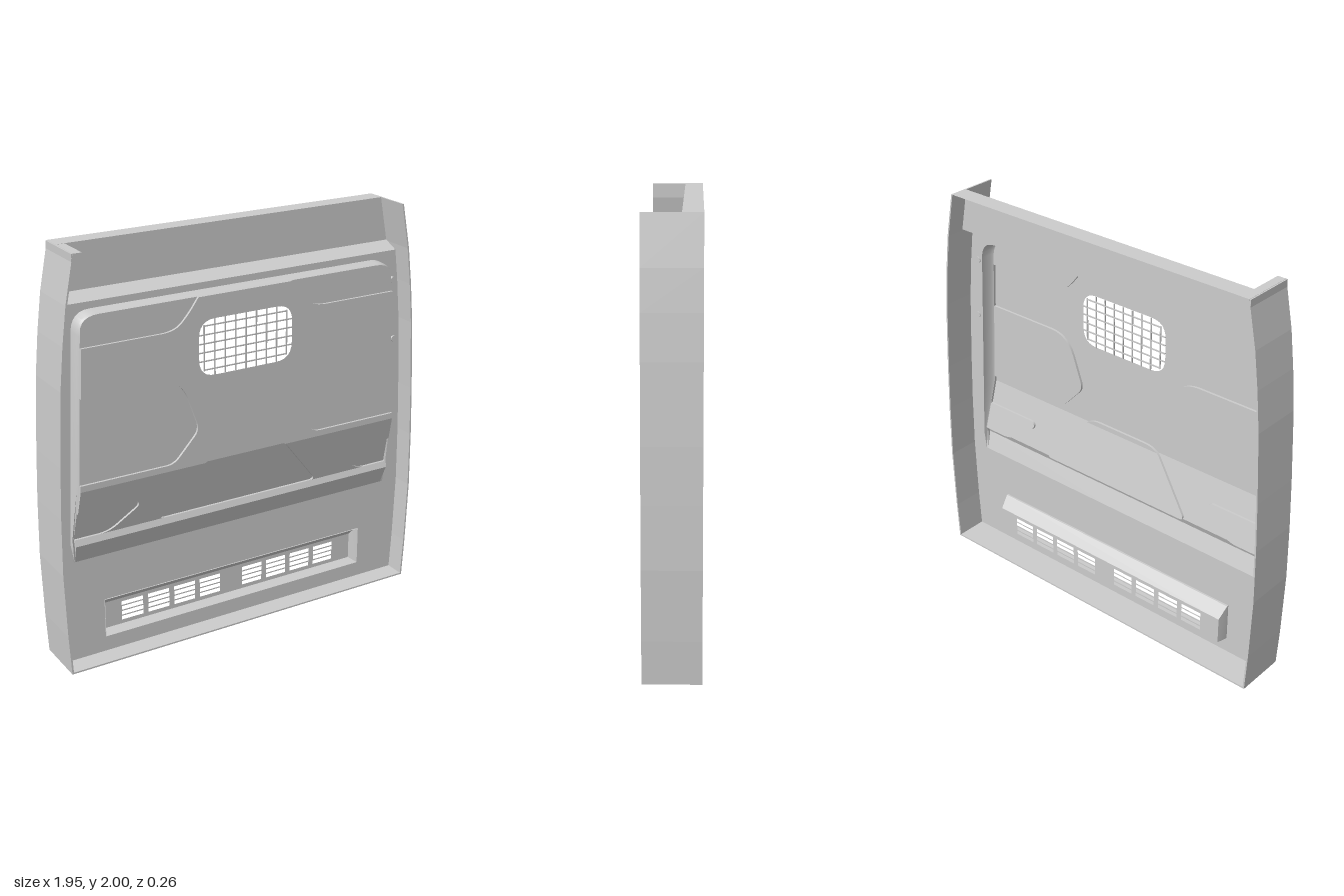
import * as THREE from 'three';
import { toCreasedNormals } from 'three/addons/utils/BufferGeometryUtils.js';

const BASE = 0.03, PRESS = 0.012;
// Half width of the side walls, [x, y]
const PROFILE = [[0.955, 0], [0.966, 0.2], [0.976, 0.52], [0.972, 0.8], [0.963, 1.05],
  [0.945, 1.4], [0.926, 1.6], [0.903, 1.78], [0.86, 2]];
// Forward depth of the raised panel, [y, z]
const DEPTH = [[0.52, BASE], [0.61, 0.06], [0.64, 0.048], [0.9, 0.11], [1.71, 0.11]];

function lerpTable(t, k) {
  if (k <= t[0][0]) return t[0][1];
  for (let i = 1; i < t.length; i++) {
    const [a, va] = t[i - 1], [b, vb] = t[i];
    if (k <= b) return va + (vb - va) * (k - a) / (b - a);
  }
  return t[t.length - 1][1];
}
const halfWidth = y => lerpTable(PROFILE.map(([x, h]) => [h, x]), y);
const panelZ = y => lerpTable(DEPTH, y);
const panelSide = y => 0.83 + (1.6 - y) * 0.047;

const material = new THREE.MeshStandardMaterial({ color: 0xcccccc, side: THREE.DoubleSide });

function add(group, name, geometry) {
  const mesh = new THREE.Mesh(geometry, material);
  mesh.name = name;
  group.add(mesh);
  return mesh;
}

const flip = pts => pts.map(([x, y]) => [-x, y]).reverse();
const symmetric = half => [...half, ...flip(half)];

// Rounds the corners of a path given as [x, y, radius]
function rounded(pts, closed = true) {
  const n = pts.length, out = [];
  pts.forEach(([x, y, r], i) => {
    if (!r || (!closed && (i === 0 || i === n - 1))) return out.push([x, y]);
    const p = new THREE.Vector2(x, y);
    const toward = q => {
      const d = new THREE.Vector2(q[0], q[1]).sub(p);
      return d.setLength(Math.min(r, d.length() * 0.49)).add(p);
    };
    const a = toward(pts[(i + n - 1) % n]), b = toward(pts[(i + 1) % n]);
    new THREE.QuadraticBezierCurve(a, p, b).getPoints(6).forEach(v => out.push([v.x, v.y]));
  });
  return out;
}

// Adds points where a closed outline crosses a fold of the panel
function splitAtFolds(pts) {
  return pts.flatMap((a, i) => {
    const b = pts[(i + 1) % pts.length];
    const cuts = DEPTH.map(d => (d[0] - a[1]) / (b[1] - a[1])).filter(t => t > 0.001 && t < 0.999).sort((s, t) => s - t);
    return [a, ...cuts.map(t => [a[0] + (b[0] - a[0]) * t, a[1] + (b[1] - a[1]) * t])];
  });
}

function triangles(pos, crease) {
  const g = new THREE.BufferGeometry();
  g.setAttribute('position', new THREE.Float32BufferAttribute(pos, 3));
  g.computeVertexNormals();
  return crease ? toCreasedNormals(g, 0.7) : g;
}

// Joins rings of [x, y, z] points
function loft(rings, closed = true) {
  const pos = [], n = rings[0].length;
  for (let r = 1; r < rings.length; r++) {
    for (let i = 0; i < (closed ? n : n - 1); i++) {
      const j = (i + 1) % n, a = rings[r - 1], b = rings[r];
      pos.push(...a[i], ...a[j], ...b[j], ...a[i], ...b[j], ...b[i]);
    }
  }
  return triangles(pos, true);
}

// Cuts a polygon at height y, keeping the part above (s = 1) or below (s = -1)
function clip(poly, y, s) {
  return poly.flatMap((a, i) => {
    const b = poly[(i + 1) % poly.length], da = (a[1] - y) * s, db = (b[1] - y) * s;
    const out = da >= 0 ? [a] : [];
    if (da * db < 0) out.push([a[0] + (b[0] - a[0]) * da / (da - db), y]);
    return out;
  });
}

// Flat outline with holes, bent to z(y) along the folds
function sheet(outline, holes, z) {
  const v = pts => pts.map(p => new THREE.Vector2(p[0], p[1]));
  const shape = new THREE.Shape(v(outline));
  holes.forEach(h => shape.holes.push(new THREE.Path(v(h))));
  const g = new THREE.ShapeGeometry(shape).toNonIndexed().attributes.position, pos = [];
  for (let i = 0; i < g.count; i += 3) {
    const tri = [0, 1, 2].map(k => [g.getX(i + k), g.getY(i + k)]);
    for (let b = 1; b < DEPTH.length; b++) {
      let p = b > 1 ? clip(tri, DEPTH[b - 1][0], 1) : tri;
      if (b < DEPTH.length - 1) p = clip(p, DEPTH[b][0], -1);
      for (let k = 2; k < p.length; k++)
        [p[0], p[k - 1], p[k]].forEach(q => pos.push(q[0], q[1], z(q[1])));
    }
  }
  return triangles(pos);
}

const rect = (x0, y0, x1, y1, r = 0) => rounded([[x0, y0, r], [x1, y0, r], [x1, y1, r], [x0, y1, r]]);

export function createModel() {
  const model = new THREE.Group();
  model.name = 'bulkhead';

  // Side walls and floor flange in one U
  const outer = symmetric([...PROFILE].reverse());
  const inner = symmetric([...PROFILE].reverse().map(([x, y]) => [x - 0.008, Math.max(y, 0.008)]));
  const u = new THREE.Shape([...outer, ...inner.reverse()].map(p => new THREE.Vector2(...p)));
  add(model, 'outerFlange', new THREE.ExtrudeGeometry(u, { depth: 0.26, bevelEnabled: false }).translate(0, 0, -0.13));

  // Set-back header with top flange and sloping ledge
  const rows = [[-0.13, 2], [-0.04, 2], [-0.04, 1.785], [BASE, 1.75]];
  add(model, 'header', loft(rows.map(([z, y]) => [[-halfWidth(y) + 0.004, y, z], [halfWidth(y) - 0.004, y, z]]), false));
  const tab = add(model, 'cornerTab', new THREE.BoxGeometry(0.05, 0.07, 0.258));
  tab.position.set(-0.842, 1.964, 0);

  // Raised panel outline and its draft
  const side = y => [panelSide(y), y];
  const edge = splitAtFolds(symmetric(rounded([[0, 1.71], [panelSide(1.71), 1.71, 0.09], side(0.61), [0.865, 0.52], [0, 0.52]], false)));
  const foot = edge.map(([x, y]) => [x * 1.014, y > 1.6 ? y + 0.008 : y]);
  const ring = (pts, t) => pts.map(([x, y], i) => [x, y, BASE + (panelZ(edge[i][1]) - BASE) * t - (t > 0.9 ? Math.min(PRESS, panelZ(edge[i][1]) - BASE) : 0)]);
  const mid = edge.map(([x, y], i) => [x * 0.25 + foot[i][0] * 0.75, y * 0.25 + foot[i][1] * 0.75]);
  add(model, 'panelRim', loft([ring(edge, 1), ring(mid, 0.7), ring(foot, 0)]));

  // Pressed pockets along the sides
  const upper = rounded([[0.25, 1.71], [0.30, 1.64, 0.06], [0.37, 1.57, 0.07], side(1.57)], false);
  const middle = rounded([side(1.34), [0.345, 1.34, 0.11], [0.25, 1.075, 0.04], [0.385, 0.93, 0.04], side(0.93)], false);
  const lower = rounded([side(0.78), [0.565, 0.78, 0.02], [0.553, 0.75, 0.025], [0.70, 0.64, 0.05], side(0.64)], false);
  const topCorner = rounded([side(1.57), [panelSide(1.71), 1.71, 0.09], [0.25, 1.71]], false);
  const pressedZ = y => panelZ(y) - PRESS;
  const trapezoid = splitAtFolds(rounded([[0.205, 0.925, 0.06], [0.445, 0.64, 0.035], [-0.445, 0.64, 0.035], [-0.205, 0.925, 0.06]]));
  const pockets = { upperPocket: [...upper, ...topCorner.slice(1, -1)], middlePocket: middle, lowerPocket: lower };
  for (const [name, pts] of Object.entries(pockets)) {
    add(model, name + 'Left', sheet(pts, [], pressedZ));
    add(model, name + 'Right', sheet(flip(pts), [], pressedZ));
  }
  add(model, 'centrePocket', sheet(trapezoid, [], pressedZ));

  // Main face of the panel, around pockets and window
  const face = splitAtFolds(symmetric([[0, 1.71], ...upper, ...middle, ...lower, side(0.61), [0.865, 0.52], [0, 0.52]]));
  const windowHole = rect(-0.25, 1.33, 0.25, 1.6, 0.085);
  add(model, 'panelFace', sheet(face, [windowHole, trapezoid], panelZ));
  const step = (pts, d) => pts.map(([x, y]) => [x, y, Math.max(panelZ(y) - d, Math.min(BASE, panelZ(y)))]);
  add(model, 'pocketWalls', loft([step(face, 0), step(face, PRESS)]));
  add(model, 'centrePocketWalls', loft([step(trapezoid, 0), step(trapezoid, PRESS)]));

  // Window grille
  const grille = new THREE.Group();
  grille.name = 'windowGrille';
  model.add(grille);
  for (let i = -4; i <= 4; i++) {
    const h = Math.abs(i) === 4 ? 0.22 : 0.27;
    add(grille, 'verticalWire', new THREE.BoxGeometry(0.006, h, 0.005)).position.set(i * 0.0555, 1.465, 0.107);
  }
  for (let i = 0; i < 6; i++) {
    const w = i === 0 || i === 5 ? 0.45 : 0.5;
    add(grille, 'horizontalWire', new THREE.BoxGeometry(w, 0.006, 0.005)).position.set(0, 1.36 + i * 0.042, 0.107);
  }

  // Base sheet behind the raised panel
  const ventMouth = rect(-0.73, 0.088, 0.73, 0.285);
  const sheetHalf = [[halfWidth(1.75) - 0.004, 1.75], ...PROFILE.filter(p => p[1] < 1.75).reverse().map(([x, y]) => [x - 0.004, y + (y ? 0 : 0.004)])];
  add(model, 'baseSheet', sheet(symmetric(sheetHalf), [foot, ventMouth], () => BASE));

  // Vent box with slotted back
  const ventBack = rect(-0.72, 0.092, 0.72, 0.23);
  const slots = [];
  for (const s of [-1, 1])
    for (let c = 0; c < 4; c++)
      for (let r = 0; r < 4; r++) {
        const x = s * (0.122 + c * 0.144), y = 0.112 + r * 0.0265;
        slots.push(rect(x - 0.058, y, x + 0.058, y + 0.02));
      }
  const at = (pts, z) => pts.map(([x, y]) => [x, y, z]);
  add(model, 'ventBox', loft([at(ventMouth, BASE + 0.006), at(ventMouth, BASE - 0.01), at(ventBack, -0.03)]));
  add(model, 'ventSlats', sheet(ventBack, slots, () => -0.03));

  // Small pegs beside the panel
  for (const [x, y] of [[0.867, 1.61], [0.887, 1.305]]) {
    const peg = add(model, 'peg', new THREE.CylinderGeometry(0.015, 0.015, 0.04, 16));
    peg.rotation.x = Math.PI / 2;
    peg.position.set(x, y, 0.045);
  }
  return model;
}
